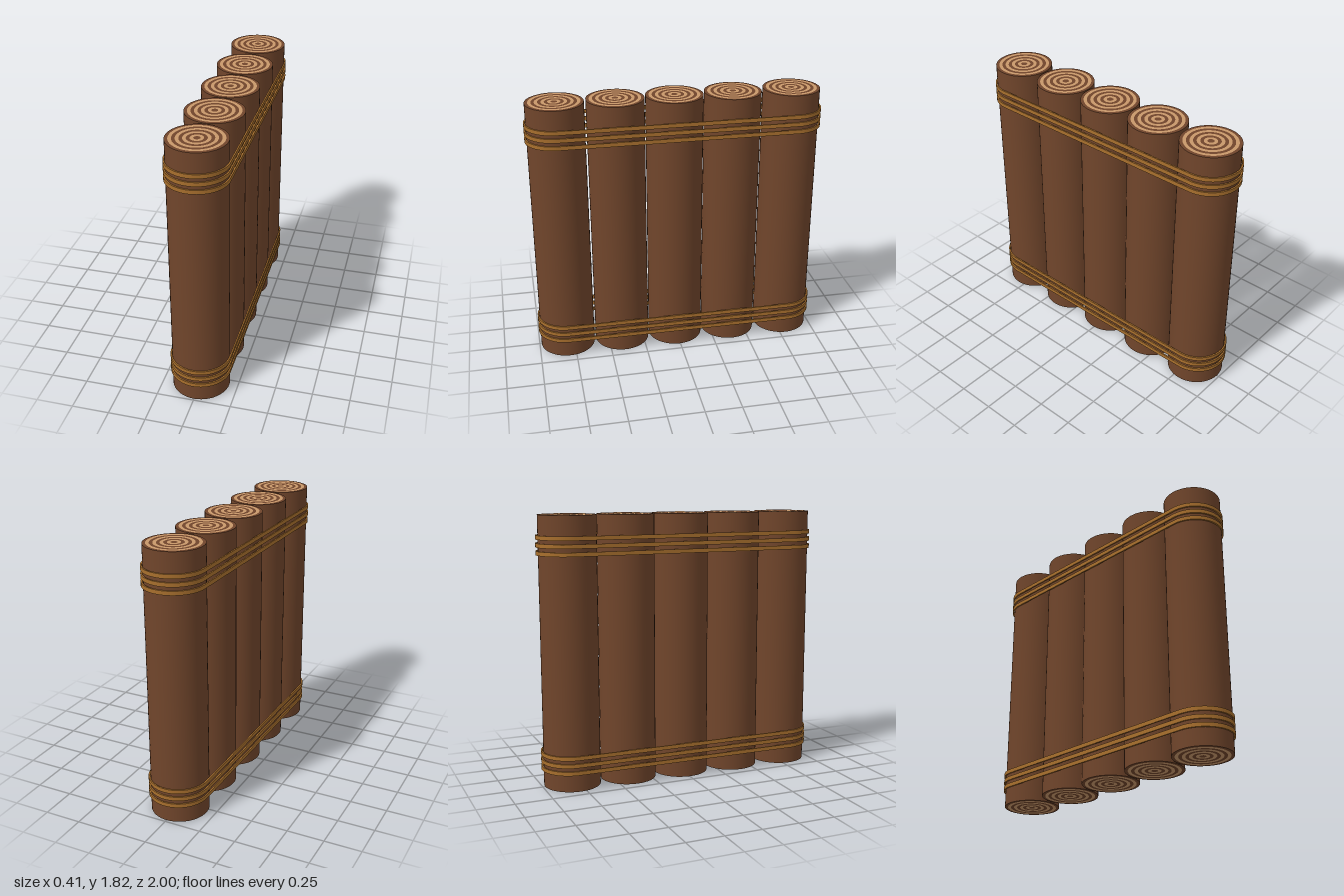
import * as THREE from 'three';

const HEIGHT = 1.82, RADIUS = 0.192;
const LOG_Z = [0.795, 0.4, 0.007, -0.388, -0.792];

// Rounded-end loop around the whole row, r = end radius
function stadium(PathType, r) {
  const p = new PathType();
  p.absarc(0, 0.797, r, 0, Math.PI, false);
  p.absarc(0, -0.797, r, Math.PI, Math.PI * 2, false);
  p.closePath();
  return p;
}

export function createModel() {
  const model = new THREE.Group();
  const bark = new THREE.MeshStandardMaterial({ color: 0x70452b });
  const paleWood = new THREE.MeshStandardMaterial({ color: 0xc8986a });
  const cord = new THREE.MeshStandardMaterial({ color: 0xa86f2d });

  const add = (parent, name, geometry, material) => {
    const mesh = new THREE.Mesh(geometry, material);
    mesh.name = name;
    parent.add(mesh);
    return mesh;
  };

  // Upright logs with pale growth rings on both ends
  const logGeometry = new THREE.CylinderGeometry(RADIUS, RADIUS, HEIGHT, 48);
  const step = RADIUS / 9;
  const ringGeometries = [1, 3, 5, 7].map((i) =>
    new THREE.RingGeometry(i * step, (i + 1) * step, 48).rotateX(-Math.PI / 2));
  LOG_Z.forEach((z, n) => {
    const log = new THREE.Group();
    log.name = `log${n + 1}`;
    log.position.z = z;
    model.add(log);
    add(log, 'trunk', logGeometry, bark).position.y = HEIGHT / 2;
    for (const ring of ringGeometries) {
      add(log, 'topGrowthRing', ring, paleWood).position.y = HEIGHT + 0.001;
      const low = add(log, 'bottomGrowthRing', ring, paleWood);
      low.rotation.x = Math.PI;
      low.position.y = -0.001;
    }
  });

  // Two lashings of three flat bands each
  const bandShape = stadium(THREE.Shape, 0.203);
  bandShape.holes.push(stadium(THREE.Path, 0.193));
  const bandGeometry = new THREE.ExtrudeGeometry(bandShape, {
    depth: 0.027, bevelEnabled: false, curveSegments: 24,
  }).translate(0, 0, -0.0135).rotateX(-Math.PI / 2);
  for (const [name, y] of [['lowerBand', 0.18], ['upperBand', 1.624]]) {
    for (const offset of [-0.051, 0, 0.051]) {
      add(model, name, bandGeometry, cord).position.y = y + offset;
    }
  }
  return model;
}
